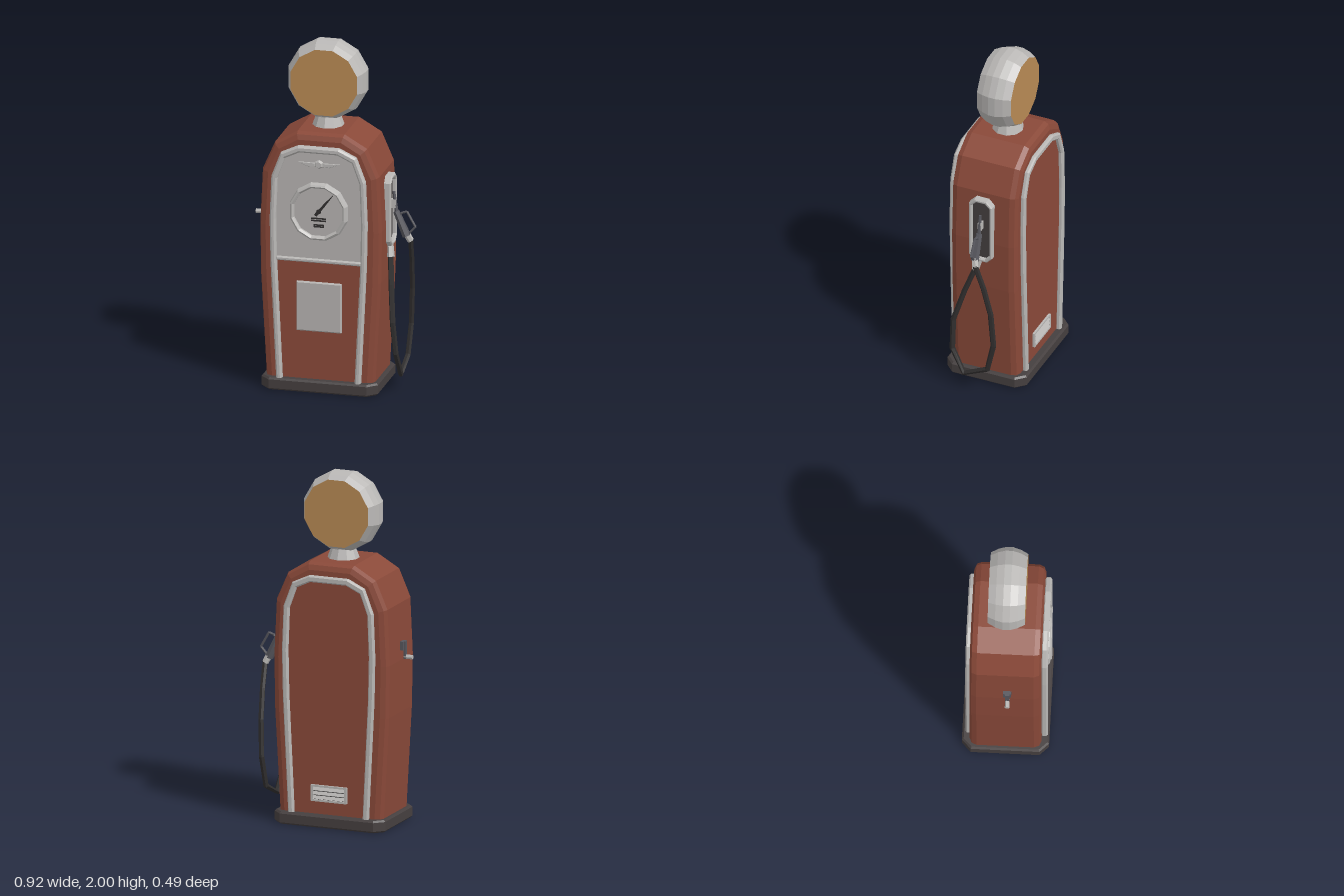
import * as THREE from 'three';

const CX = -0.05; // centre line of the cabinet

const material = (name, color) => {
  const m = new THREE.MeshStandardMaterial({ color });
  m.name = name;
  return m;
};

// Faceted normals for curved built-in geometries
const facet = (g) => {
  const f = g.index ? g.toNonIndexed() : g;
  f.computeVertexNormals();
  return f;
};

const polygon = (pts) => new THREE.Shape(pts.map(([x, y]) => new THREE.Vector2(x, y)));

// Mirror a half outline (half width, height) listed from bottom to top
const mirrored = (half) => [...half, ...half.map(([x, y]) => [-x, y]).reverse()];

// Rectangle with cut corners
const cutRect = (w, h, c) => [
  [w - c, -h], [w, -h + c], [w, h - c], [w - c, h],
  [-w + c, h], [-w, h - c], [-w, -h + c], [-w + c, -h],
];

// Extrusion filling exactly 0..depth, with edges bevelled inward
const slab = (shape, depth, bevel = 0, segments = 1) => {
  const g = new THREE.ExtrudeGeometry(shape, {
    depth: depth - 2 * bevel, bevelEnabled: bevel > 0, bevelThickness: bevel,
    bevelSize: bevel, bevelOffset: -bevel, bevelSegments: segments,
  });
  return g.translate(0, 0, bevel);
};

// Tapered rod between two points
const rod = (a, b, r1, r2 = r1, sides = 6) => {
  const p = new THREE.Vector3(...a), q = new THREE.Vector3(...b);
  const d = q.clone().sub(p);
  const g = new THREE.CylinderGeometry(r2, r1, d.length(), sides);
  g.applyQuaternion(new THREE.Quaternion().setFromUnitVectors(new THREE.Vector3(0, 1, 0), d.normalize()));
  const c = p.add(q).multiplyScalar(0.5);
  return facet(g.translate(c.x, c.y, c.z));
};

// Angular tube with one ring at each listed point
const bentTube = (pts, r, sides) => {
  const curve = new THREE.CatmullRomCurve3(pts.map((p) => new THREE.Vector3(...p)));
  curve.getPointAt = curve.getPoint;
  curve.getTangentAt = curve.getTangent;
  return facet(new THREE.TubeGeometry(curve, pts.length - 1, r, sides, false));
};

export function createModel() {
  const model = new THREE.Group();
  model.name = 'fuelPump';

  const red = material('red paint', 0x8a4939);
  const chrome = material('chrome', 0xbab8b6);
  const pale = material('pale enamel', 0xb6b3b1);
  const amber = material('amber glass', 0xb98a54);
  const base = material('dark base', 0x453f3f);
  const rubber = material('black rubber', 0x302e2e);
  const gunmetal = material('gunmetal', 0x57575e);

  const add = (name, geometry, mat, x = 0, y = 0, z = 0, parent = model) => {
    const m = new THREE.Mesh(geometry, mat);
    m.name = name;
    m.position.set(x, y, z);
    parent.add(m);
    return m;
  };

  // Plinth
  const plinth = slab(polygon(cutRect(0.335, 0.243, 0.052)), 0.07, 0.01);
  add('plinth', plinth.rotateX(-Math.PI / 2), base, CX);

  // Cabinet body
  const bodyHalf = [[0.31, 0.02], [0.345, 0.65], [0.35, 0.95], [0.335, 1.27], [0.265, 1.43], [0.135, 1.505]];
  add('cabinet', slab(polygon(mirrored(bodyHalf)), 0.4, 0.04, 2), red, CX, 0, -0.2);

  // Arched trim on front and back
  const outer = [[0.242, 0.06], [0.275, 0.75], [0.28, 1.0], [0.27, 1.25], [0.217, 1.39], [0.117, 1.437]];
  const inner = [[0.208, 0.06], [0.241, 0.75], [0.246, 1.0], [0.237, 1.24], [0.193, 1.36], [0.108, 1.4]];
  const arch = polygon([...mirrored(outer), ...mirrored(inner).reverse()]);
  add('frontTrim', slab(arch, 0.04, 0.01), chrome, CX, 0, 0.195);
  const backTrim = add('backTrim', slab(arch, 0.03, 0.008), chrome, CX, 0, -0.195);
  backTrim.rotation.y = Math.PI;

  // Upper front panel and the moulding below it
  const panel = polygon(mirrored([[0.242, 0.77], ...inner.slice(2)]));
  add('upperPanel', slab(panel, 0.012), pale, CX, 0, 0.196);
  const moulding = polygon(cutRect(0.243, 0.011, 0.004));
  add('panelMoulding', slab(moulding, 0.025, 0.006), chrome, CX, 0.768, 0.198);

  // Dial
  const dial = new THREE.Group();
  dial.name = 'dial';
  dial.position.set(CX, 1.058, 0.2);
  model.add(dial);
  const ringProfile = [[0.145, 0], [0.145, 0.03], [0.156, 0.042], [0.166, 0.036], [0.175, 0]];
  const ring = new THREE.LatheGeometry(ringProfile.map(([r, y]) => new THREE.Vector2(r, y)).reverse(), 12, Math.PI / 12);
  add('dialRing', facet(ring.rotateX(Math.PI / 2)), chrome, 0, 0, 0, dial);
  const dialFace = new THREE.CircleGeometry(0.152, 12, Math.PI / 12);
  add('dialFace', dialFace, pale, 0, 0, 0.016, dial);
  const needle = polygon([[-0.009, -0.03], [0.009, -0.03], [0.007, 0.05], [0.002, 0.13], [-0.002, 0.13], [-0.007, 0.05]]);
  add('needle', slab(needle, 0.004), rubber, 0, 0, 0.017, dial).rotation.z = -0.68;
  add('needleHub', rod([0, 0, 0], [0, 0, 0.006], 0.014, 0.014, 8), rubber, 0, 0, 0.016, dial);
  [[0.085, -0.04], [0.085, -0.053], [0.06, -0.078], [0.06, -0.088]].forEach(([w, y]) =>
    add('dialMark', new THREE.BoxGeometry(w, 0.008, 0.004), rubber, 0, y, 0.018, dial));

  // Winged stud ornament
  add('ornamentStud', rod([0, 0, 0], [0, 0, 0.018], 0.028, 0.018), chrome, CX, 1.333, 0.206);
  const wing = [[0.02, -0.014], [0.06, -0.016], [0.12, 0.009], [0.02, 0.009]];
  add('leftWing', slab(polygon(wing), 0.009, 0.003), chrome, CX, 1.333, 0.207);
  add('rightWing', slab(polygon(wing.map(([x, y]) => [-x, y])), 0.009, 0.003), chrome, CX, 1.333, 0.207);

  // Lower front plate
  add('lowerPlate', slab(polygon(cutRect(0.13, 0.145, 0.003)), 0.02, 0.007), pale, CX, 0.497, 0.198);

  // Rear vent with louvres
  const ventFrame = polygon(cutRect(0.11, 0.047, 0.003));
  ventFrame.holes.push(polygon(cutRect(0.095, 0.036, 0.002)));
  add('ventFrame', slab(ventFrame, 0.016), chrome, CX, 0.19, -0.212);
  add('ventBack', new THREE.BoxGeometry(0.19, 0.072, 0.004), rubber, CX, 0.19, -0.201);
  for (let i = 0; i < 3; i++) {
    const louvre = add('louvre', new THREE.BoxGeometry(0.19, 0.022, 0.003), chrome, CX, 0.167 + i * 0.024, -0.207);
    louvre.rotation.x = 0.6;
  }

  // Neck and globe
  const neck = [[0.095, 1.49], [0.088, 1.51], [0.07, 1.56], [0.07, 1.61]].map(([r, y]) => new THREE.Vector2(r, y));
  add('neck', facet(new THREE.LatheGeometry(neck, 10)), chrome, CX);
  const globeHalf = [[0.198, 0.104], [0.22, 0.062], [0.232, 0.02]];
  const globeProfile = [...globeHalf.map(([r, y]) => [r, -y]), ...globeHalf.reverse()];
  const globe = new THREE.LatheGeometry(globeProfile.map(([r, y]) => new THREE.Vector2(r, y)), 12, Math.PI / 12);
  add('globe', facet(globe.rotateX(Math.PI / 2)), chrome, CX, 1.776);
  for (const s of [1, -1]) {
    const lens = add('globeLens', new THREE.CircleGeometry(0.198, 12, Math.PI / 12), amber, CX, 1.776, s * 0.104);
    lens.rotation.y = s > 0 ? 0 : Math.PI;
  }

  // Nozzle holder on the left side
  const holder = polygon(cutRect(0.072, 0.205, 0.035));
  holder.holes.push(polygon(cutRect(0.054, 0.185, 0.027)));
  add('holderRim', slab(holder, 0.05, 0.006).rotateY(Math.PI / 2), chrome, 0.277, 1.035);
  const recess = polygon(cutRect(0.058, 0.19, 0.029));
  add('holderRecess', slab(recess, 0.03).rotateY(Math.PI / 2), base, 0.275, 1.035);
  add('holderHook', new THREE.BoxGeometry(0.04, 0.05, 0.02), chrome, 0.32, 1.07);

  // Nozzle with trigger guard
  add('spout', rod([0.345, 1.0, 0], [0.326, 1.14, 0], 0.012, 0.008), gunmetal);
  add('nozzleBody', rod([0.34, 1.025, 0], [0.4, 0.885, 0], 0.018, 0.025), gunmetal);
  const guard = [[0.36, 1.0, 0], [0.373, 1.018, 0], [0.402, 1.027, 0], [0.45, 0.942, 0], [0.4, 0.885, 0]];
  for (let i = 1; i < guard.length; i++) add('triggerGuard', rod(guard[i - 1], guard[i], 0.007), gunmetal);
  add('nozzleCoupling', rod([0.398, 0.9, 0], [0.42, 0.855, -0.012], 0.02, 0.019), chrome);

  // Hose and its outlet
  add('hoseOutlet', rod([0.305, 0.85, 0.005], [0.318, 0.765, 0.034], 0.018, 0.022), chrome);
  add('hose', bentTube([
    [0.316, 0.78, 0.03], [0.335, 0.62, 0.09], [0.358, 0.42, 0.15], [0.375, 0.24, 0.148],
    [0.385, 0.097, 0.072], [0.389, 0.165, -0.072], [0.398, 0.34, -0.113],
    [0.407, 0.55, -0.1], [0.415, 0.72, -0.06], [0.42, 0.865, -0.01],
  ], 0.016, 6), rubber);

  // Crank on the right side
  add('crankMount', new THREE.BoxGeometry(0.025, 0.05, 0.045), gunmetal, -0.402, 1.03, 0.013);
  add('crankArm', new THREE.BoxGeometry(0.012, 0.1, 0.024), gunmetal, -0.418, 1.005, 0.015);
  add('crankHandle', rod([-0.412, 0.966, 0.015], [-0.462, 0.966, 0.015], 0.013), chrome);

  return model;
}
